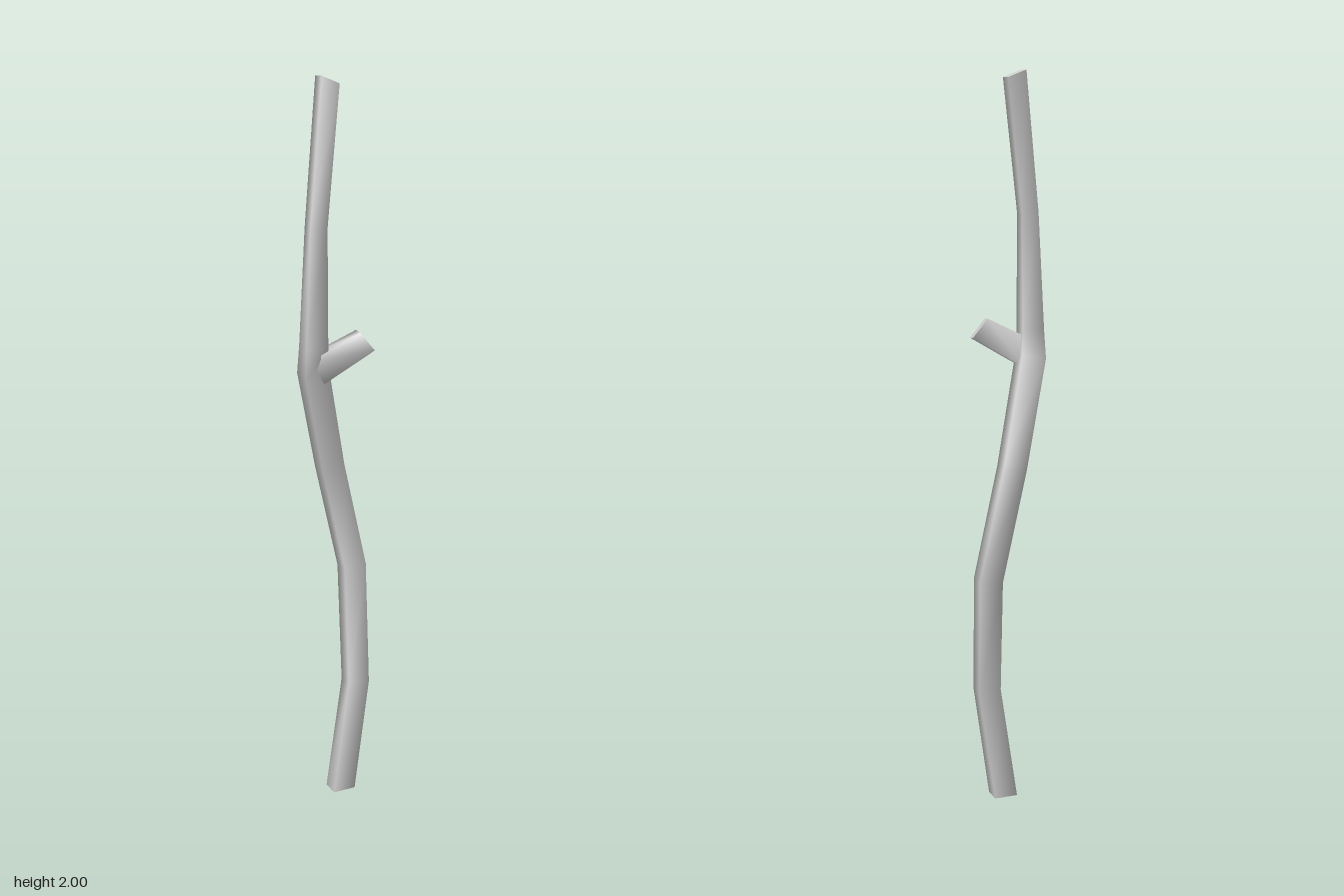
import * as THREE from 'three';

// Four-sided limb lofted through rings [x, y, z, halfWidth, halfDepth].
// Each ring is mitred to the bend; startDir / endDir override the end tilts.
function limb(name, rings, startDir, endDir) {
  const centres = rings.map(([x, y, z]) => new THREE.Vector3(x, y, z));
  const last = rings.length - 1;
  const positions = [], indices = [];
  const corners = rings.map(([, , , hw, hd], i) => {
    const before = centres[i].clone().sub(centres[Math.max(i - 1, 0)]).normalize();
    const after = centres[Math.min(i + 1, last)].clone().sub(centres[i]).normalize();
    let dir = before.add(after).normalize();
    if (i === 0 && startDir) dir = startDir.clone().normalize();
    if (i === last && endDir) dir = endDir.clone().normalize();
    const v = new THREE.Vector3(0, 0, 1).addScaledVector(dir, -dir.z).normalize();
    const u = dir.clone().cross(v);
    return [[-1, -1], [1, -1], [1, 1], [-1, 1]].map(([a, b]) =>
      centres[i].clone().addScaledVector(u, a * hw).addScaledVector(v, b * hd));
  });

  // Smooth sides
  corners.forEach((ring) => ring.forEach((p) => positions.push(p.x, p.y, p.z)));
  for (let i = 0; i < last; i++) {
    for (let j = 0; j < 4; j++) {
      const a = i * 4 + j, b = i * 4 + (j + 1) % 4;
      indices.push(a, a + 4, b, b, a + 4, b + 4);
    }
  }
  // Flat caps with their own vertices
  for (const [ring, order] of [[corners[0], [0, 1, 2, 3]], [corners[last], [3, 2, 1, 0]]]) {
    const n = positions.length / 3;
    order.forEach((k) => positions.push(ring[k].x, ring[k].y, ring[k].z));
    indices.push(n, n + 1, n + 2, n, n + 2, n + 3);
  }

  const geometry = new THREE.BufferGeometry();
  geometry.setAttribute('position', new THREE.Float32BufferAttribute(positions, 3));
  geometry.setIndex(indices);
  geometry.computeVertexNormals();
  const mesh = new THREE.Mesh(geometry, new THREE.MeshStandardMaterial({ color: 0xcccccc }));
  mesh.name = name;
  return mesh;
}

export function createModel() {
  const group = new THREE.Group();
  group.name = 'stick';

  // Crooked main stem, tapering to the top
  group.add(limb('stem', [
    [0.002, 0, 0.03, 0.033, 0.025],
    [0.054, 0.325, 0.018, 0.032, 0.023],
    [0.072, 0.655, -0.044, 0.033, 0.024],
    [0.004, 0.96, -0.045, 0.033, 0.025],
    [-0.074, 1.245, 0.02, 0.035, 0.026],
    [-0.078, 1.32, 0.031, 0.031, 0.023],
    [-0.074, 1.63, 0.04, 0.024, 0.017],
    [-0.01, 1.987, -0.026, 0.027, 0.018],
  ], new THREE.Vector3(0, 1, 0), new THREE.Vector3(0.4, 1, -0.06)));

  // Short broken side branch
  group.add(limb('sideBranch', [
    [-0.07, 1.255, 0.027, 0.038, 0.021],
    [0.061, 1.327, 0.054, 0.033, 0.016],
  ], null, new THREE.Vector3(0.76, 0.64, 0.12)));

  return group;
}
